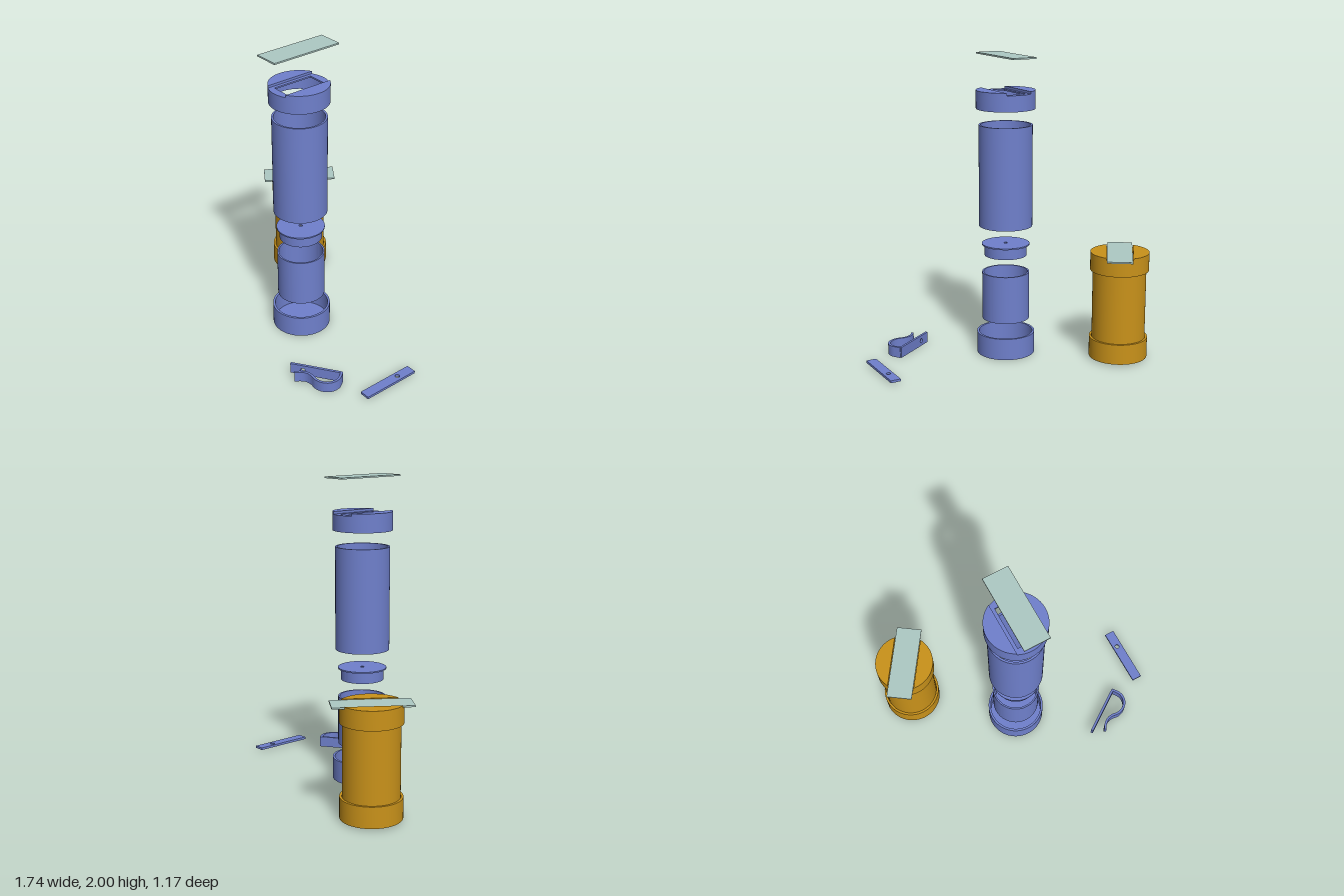
import * as THREE from 'three';
import { toCreasedNormals } from 'three/addons/utils/BufferGeometryUtils.js';

const mat = (color) => new THREE.MeshStandardMaterial({ color });
const BLUE = mat(0x6f80cc), ORANGE = mat(0xc9921a), GLASS = mat(0xadc9c4);
const CAP_R = 0.193, TUBE_R = 0.176, GROOVE = 0.0875;

function add(parent, name, geometry, material, x = 0, y = 0, z = 0) {
  const mesh = new THREE.Mesh(geometry, material);
  mesh.name = name;
  mesh.position.set(x, y, z);
  parent.add(mesh);
  return mesh;
}

// Turned part from a closed outline of [radius, height]
const turned = (outline) => toCreasedNormals(
  new THREE.LatheGeometry(outline.map(([r, y]) => new THREE.Vector2(r, y)), 96), 0.5);

const tube = (r, inner, h) => turned([[r, 0], [r, h], [inner, h], [inner, 0], [r, 0]]);

// Cup with a closed floor and an open top
const cup = (r, inner, h, floor) =>
  turned([[0, 0], [r, 0], [r, h], [inner, h], [inner, floor], [0, floor]]);

// Flat plan shape (x, -z) raised to a height
const raised = (shape, h) => toCreasedNormals(
  new THREE.ExtrudeGeometry(shape, { depth: h, bevelEnabled: false, curveSegments: 64 })
    .rotateX(-Math.PI / 2), 0.5);

function rectangle(w, l, Type = THREE.Shape) {
  return new Type([[-w, -l], [w, -l], [w, l], [-w, l]].map(([x, y]) => new THREE.Vector2(x, y)));
}

function roundHole(x, y, r) {
  return new THREE.Path().absarc(x, y, r, 0, Math.PI * 2);
}

// Cap with a viewing window and a groove that holds the glass
function windowCap(material) {
  const cap = new THREE.Group();
  cap.name = 'windowCap';
  add(cap, 'capWall', tube(CAP_R, 0.178, 0.096), material);
  const plate = new THREE.Shape().absarc(0, 0, CAP_R, 0, Math.PI * 2);
  plate.holes.push(rectangle(0.065, 0.14, THREE.Path));
  add(cap, 'windowPlate', raised(plate, 0.01), material, 0, 0.095, 0);
  const a = Math.acos(GROOVE / CAP_R);
  for (const turn of [0, Math.PI]) {
    const segment = new THREE.Shape().absarc(0, 0, CAP_R, turn - a, turn + a);
    segment.closePath();
    add(cap, 'grooveSide', raised(segment, 0.016), material, 0, 0.105, 0);
  }
  return cap;
}

const glassGeometry = () => new THREE.BoxGeometry(0.167, 0.01, 0.495);

// Stack of separated parts
function explodedStack() {
  const g = new THREE.Group();
  g.name = 'explodedStack';
  add(g, 'bottomCap', cup(CAP_R, 0.178, 0.145, 0.015), BLUE);
  add(g, 'innerPot', cup(0.157, 0.146, 0.32, 0.012), BLUE, 0, 0.24, 0);
  add(g, 'potLid', turned([[0.128, 0], [0.14, 0], [0.14, 0.072], [0.158, 0.072], [0.158, 0.081],
    [0.012, 0.081], [0.012, 0.07], [0.128, 0.07], [0.128, 0]]), BLUE, 0, 0.675, 0);
  add(g, 'outerTube', tube(TUBE_R, 0.163, 0.673), BLUE, 0, 0.877, 0);
  const cap = windowCap(BLUE);
  cap.position.y = 1.655;
  g.add(cap);
  add(g, 'glassSlide', glassGeometry(), GLASS, 0, 1.995, 0);
  g.position.set(-0.061, 0, 0.127);
  return g;
}

// The same parts put together
function assembledUnit() {
  const g = new THREE.Group();
  g.name = 'assembledUnit';
  add(g, 'bottomCap', cup(CAP_R, 0.178, 0.135, 0.015), ORANGE, 0, 0.01, 0);
  add(g, 'outerTube', tube(TUBE_R, 0.163, 0.675), ORANGE, 0, 0.025, 0);
  const cap = windowCap(ORANGE);
  cap.position.y = 0.605;
  g.add(cap);
  add(g, 'glassSlide', glassGeometry(), GLASS, 0, 0.717, 0);
  g.position.set(-0.661, 0, -0.335);
  g.rotation.y = -0.605;
  return g;
}

// Spring clip: a straight drilled leg and a curled strip
function springClip() {
  const g = new THREE.Group();
  g.name = 'springClip';
  const height = 0.072, thick = 0.016;
  const leg = rectangle(0.1715, height / 2);
  leg.holes.push(roundHole(-0.087, 0, 0.015));
  const legGeometry = new THREE.ExtrudeGeometry(leg, { depth: thick, bevelEnabled: false })
    .translate(0, 0, -thick / 2);
  add(g, 'clipLeg', toCreasedNormals(legGeometry, 0.6), BLUE, 0.481, height / 2, 0.44).rotation.y = 0.6;

  const curve = new THREE.CatmullRomCurve3([
    [0.428, 0.575], [0.448, 0.544], [0.48, 0.518], [0.52, 0.509], [0.57, 0.514], [0.615, 0.5],
    [0.648, 0.467], [0.659, 0.43], [0.654, 0.395], [0.638, 0.368], [0.62, 0.343],
  ].map(([x, z]) => new THREE.Vector3(x, -z, 0)));
  const left = [], right = [];
  for (let i = 0; i <= 60; i++) {
    const p = curve.getPoint(i / 60), t = curve.getTangent(i / 60);
    const n = new THREE.Vector2(-t.y, t.x).multiplyScalar(thick / 2);
    left.push(new THREE.Vector2(p.x + n.x, p.y + n.y));
    right.unshift(new THREE.Vector2(p.x - n.x, p.y - n.y));
  }
  add(g, 'clipCurl', raised(new THREE.Shape([...left, ...right]), height), BLUE);
  return g;
}

export function createModel() {
  const model = new THREE.Group();
  model.name = 'model';
  model.add(explodedStack(), assembledUnit(), springClip());

  // Flat strip with one hole
  const strip = rectangle(0.034, 0.2);
  strip.holes.push(roundHole(-0.002, 0.08, 0.015));
  add(model, 'flatStrip', raised(strip, 0.016), BLUE, 0.834, 0.011, 0.14);
  return model;
}
